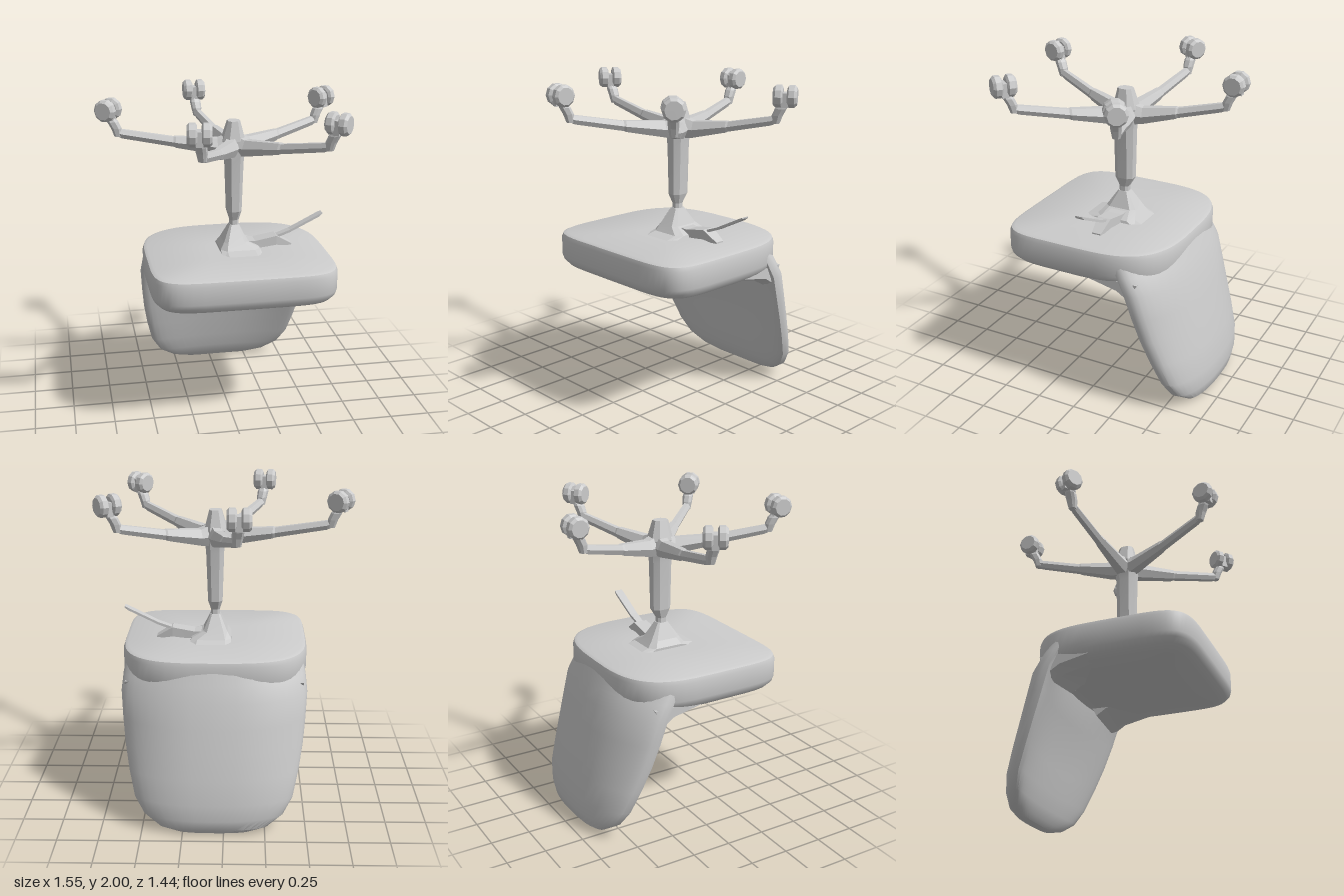
import * as THREE from 'three';
import { toCreasedNormals } from 'three/addons/utils/BufferGeometryUtils.js';

const material = new THREE.MeshStandardMaterial({ color: 0xcccccc });
const V = (x, y, z) => new THREE.Vector3(x, y, z);
const spow = (v, p) => Math.sign(v) * Math.abs(v) ** p;

function mesh(name, geometry, parent) {
  const m = new THREE.Mesh(geometry, material);
  m.name = name;
  parent.add(m);
  return m;
}

// Skin a list of rings (equal point counts), cap both ends, face outward.
function loft(rings, crease = 0.1) {
  const tris = [];
  const n = rings[0].length;
  for (let i = 0; i < rings.length - 1; i++) {
    for (let j = 0; j < n; j++) {
      const k = (j + 1) % n;
      const [a, b, c, d] = [rings[i][j], rings[i][k], rings[i + 1][k], rings[i + 1][j]];
      tris.push([a, b, c], [a, c, d]);
    }
  }
  const centre = (r) => r.reduce((s, p) => s.add(p), V(0, 0, 0)).divideScalar(n);
  const first = rings[0], last = rings[rings.length - 1];
  const c0 = centre(first), c1 = centre(last);
  for (let j = 0; j < n; j++) {
    const k = (j + 1) % n;
    tris.push([c0, first[k], first[j]], [c1, last[j], last[k]]);
  }
  let volume = 0;
  for (const [a, b, c] of tris) volume += a.dot(b.clone().cross(c));
  const points = tris.flatMap(([a, b, c]) => (volume < 0 ? [a, c, b] : [a, b, c]));
  return toCreasedNormals(new THREE.BufferGeometry().setFromPoints(points), crease);
}

// Chamfered rectangle in the xz plane at height y
function plate(y, x0, x1, z0, z1, cut = 0.25) {
  const cx = (x1 - x0) * cut, cz = (z1 - z0) * cut;
  return [V(x0 + cx, y, z0), V(x1 - cx, y, z0), V(x1, y, z0 + cz), V(x1, y, z1 - cz),
    V(x1 - cx, y, z1), V(x0 + cx, y, z1), V(x0, y, z1 - cz), V(x0, y, z0 + cz)];
}

// Seat cushion: squarish front, rounder back, softer padded side
function makeSeat(parent) {
  const profile = [[0.3, 1.045], [0.95, 1.045], [0.985, 1.035], [1, 1.01], [1, 0.9],
    [0.985, 0.87], [0.94, 0.84], [0.83, 0.815], [0.3, 0.805]];
  const rings = profile.map(([s, y]) => Array.from({ length: 56 }, (_, j) => {
    const a = (j / 56) * Math.PI * 2;
    const p = Math.sin(a) > 0 ? 2 / 6 : 2 / 3.2;
    return V(s * 0.575 * spow(Math.cos(a), p), y, 0.045 + s * 0.535 * spow(Math.sin(a), p));
  }));
  mesh('seat', loft(rings, 0.6), parent);
}

// Backrest: curved, leaning panel; rows are [y, half width, mid z, half depth, wrap]
function makeBackrest(parent) {
  const rows = [[1.0, 0.54, -0.4, 0.08, 0.2], [0.9, 0.56, -0.43, 0.09, 0.17], [0.8, 0.57, -0.455, 0.1, 0.14],
    [0.65, 0.56, -0.5, 0.095, 0.14], [0.5, 0.545, -0.54, 0.09, 0.13], [0.35, 0.52, -0.577, 0.088, 0.11],
    [0.2, 0.485, -0.607, 0.085, 0.08], [0.1, 0.425, -0.625, 0.073, 0.06],
    [0.035, 0.33, -0.632, 0.055, 0.03], [0.005, 0.22, -0.632, 0.03, 0.01], [0, 0.1, -0.632, 0.01, 0]];
  const rings = rows.map(([y, w, m, t, s]) => Array.from({ length: 40 }, (_, j) => {
    const a = (j / 40) * Math.PI * 2;
    const u = spow(Math.cos(a), 0.75);
    return V(w * u, y, m + s * Math.abs(u) ** 2.4 + t * spow(Math.sin(a), 0.6));
  }));
  mesh('backrest', loft(rings, 0.6), parent);

  // Padded gussets between the seat and backrest
  for (const side of [-1, 1]) {
    const ring = (x, d) => [V(x, 0.87, -0.02), V(x, 0.815 + d, -0.04), V(x, 0.775 + d, -0.23),
      V(x, 0.73 + d, -0.3), V(x, 0.87, -0.36)];
    mesh('seatGusset', loft([ring(side * 0.2, 0.03), ring(side * 0.46, 0), ring(side * 0.545, 0.03)], 0.4), parent);
  }
}

// Central column, mounting plate, and height lever
function makeColumn(parent) {
  mesh('column', loft([
    plate(1.86, -0.04, 0.035, -0.05, 0.04), plate(1.74, -0.075, 0.065, -0.085, 0.065),
    plate(1.65, -0.06, 0.06, -0.075, 0.065), plate(1.6, -0.055, 0.055, -0.07, 0.06),
    plate(1.29, -0.045, 0.045, -0.065, 0.055), plate(1.23, -0.028, 0.028, -0.03, 0.03),
    plate(1.18, -0.03, 0.03, -0.03, 0.03),
  ]), parent);
  mesh('mountingPlate', loft([
    plate(1.2, -0.03, 0.03, -0.035, 0.035, 0.15), plate(1.1, -0.075, 0.075, -0.1, 0.1, 0.15),
    plate(1.06, -0.1, 0.15, -0.13, 0.13, 0.15), plate(1.03, -0.1, 0.16, -0.22, 0.27, 0.15),
  ]), parent);
  const slab = (x, y, w, h) => [V(x, y - h, -w), V(x, y + h, -w), V(x, y + h, w), V(x, y - h, w)];
  mesh('leverHousing', loft([slab(0, 1.07, 0.06, 0.03), slab(0.13, 1.065, 0.05, 0.025),
    slab(0.27, 1.085, 0.045, 0.03), slab(0.37, 1.045, 0.03, 0.008)]), parent);
  mesh('lever', loft([slab(0.2, 1.075, 0.02, 0.01), slab(0.36, 1.135, 0.026, 0.008),
    slab(0.55, 1.23, 0.028, 0.008), slab(0.57, 1.243, 0.025, 0.004)]), parent);
}

// Caster: twin wheels joined by a core, with the axle along local x
function makeCaster(parent) {
  const caster = new THREE.Group();
  caster.name = 'caster';
  for (const side of [-1, 1]) {
    const wheel = [[0.012, 0.05], [0.022, 0.067], [0.055, 0.067], [0.07, 0.052]].map(([x, r]) =>
      Array.from({ length: 10 }, (_, j) => {
        const a = ((j + 0.5) / 10) * Math.PI * 2;
        return V(side * x, r * Math.cos(a), r * Math.sin(a));
      }));
    mesh('wheel', loft(wheel), caster);
  }
  const core = mesh('wheelCore', new THREE.BoxGeometry(0.04, 0.085, 0.08), caster);
  core.position.y = -0.02;
  parent.add(caster);
  return caster;
}

// One arm along local +x, with its bent stalk and caster
function makeArm(parent, x, z, swivel) {
  const length = Math.hypot(x, z), angle = Math.atan2(-z, x);
  const arm = new THREE.Group();
  arm.name = 'baseArm';
  arm.rotation.y = angle;
  const section = (px, y, h, w) => [V(px, y + h, -w * 0.5), V(px, y + h, w * 0.5), V(px, y, w),
    V(px, y - h, w * 0.55), V(px, y - h, -w * 0.55), V(px, y, -w)];
  const e = length - 0.05;
  mesh('armBeam', loft([section(0, 1.71, 0.07, 0.065), section(0.1, 1.7, 0.05, 0.052),
    section(e * 0.5, 1.73, 0.034, 0.036), section(e * 0.52, 1.732, 0.03, 0.031),
    section(e - 0.03, 1.785, 0.027, 0.026), section(e + 0.015, 1.8, 0.022, 0.024)]), arm);
  const stalk = (y, px, r) => plate(y, px - r, px + r, -r, r);
  mesh('casterStalk', loft([stalk(1.77, e - 0.005, 0.022), stalk(1.82, e + 0.005, 0.03),
    stalk(1.86, e + 0.025, 0.032), stalk(1.9, length, 0.02)]), arm);
  const caster = makeCaster(arm);
  caster.position.set(length, 1.933, 0);
  caster.rotation.y = swivel - angle;
  parent.add(arm);
}

export function createModel() {
  const model = new THREE.Group();
  model.name = 'upturnedOfficeChair';
  const chair = new THREE.Group();
  chair.name = 'chair';
  chair.position.x = 0.062;
  model.add(chair);

  makeSeat(chair);
  makeBackrest(chair);
  makeColumn(chair);

  // Five-armed base: caster x, z and swivel angle
  const base = new THREE.Group();
  base.name = 'base';
  base.position.z = -0.015;
  chair.add(base);
  const arms = [[-0.755, -0.085, 1.0], [-0.15, -0.635, 0], [0.62, -0.255, 0.6],
    [0.505, 0.535, -0.7], [-0.315, 0.665, -0.15]];
  for (const [x, z, swivel] of arms) makeArm(base, x, z, swivel);
  return model;
}
